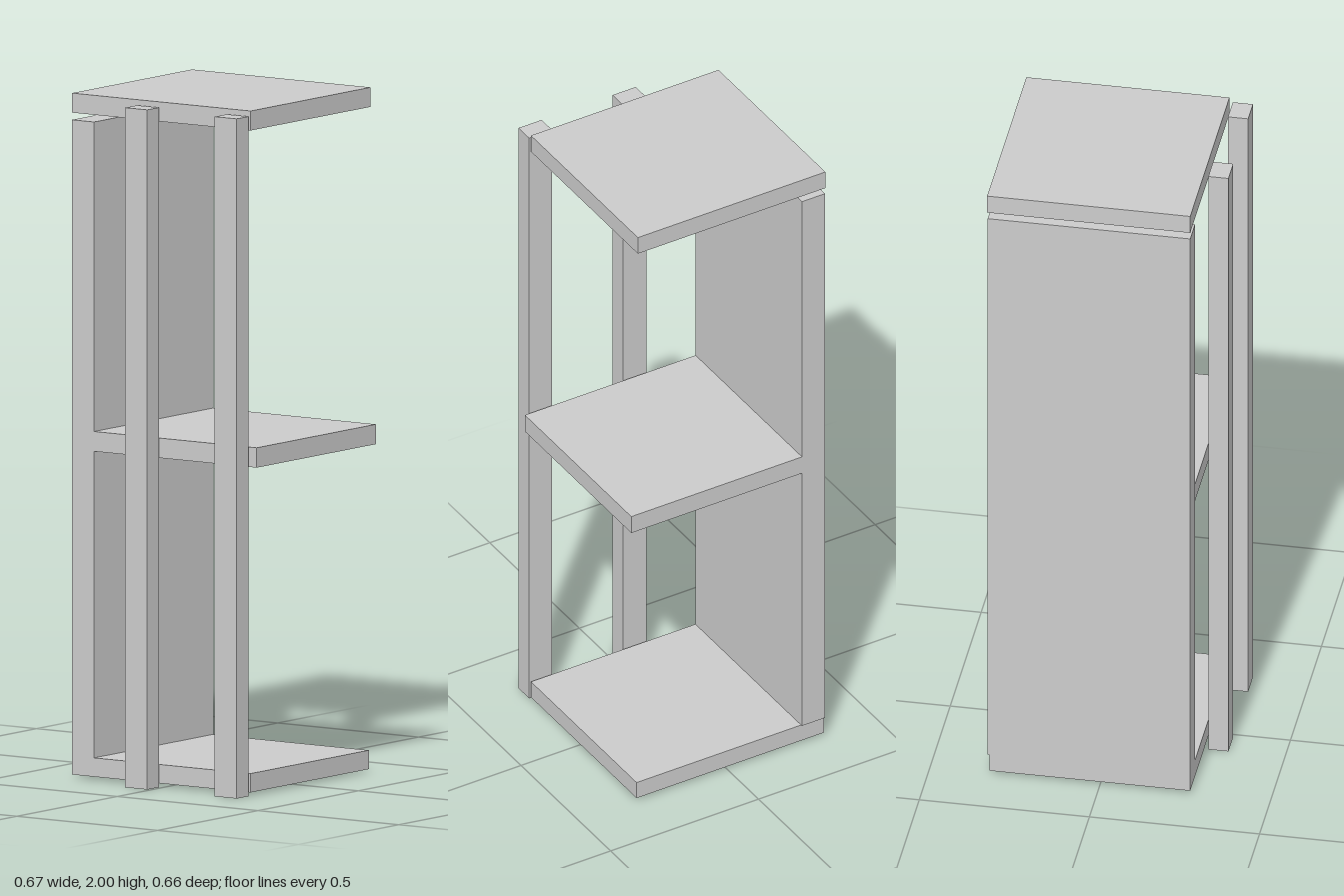
import * as THREE from 'three';

export function createModel() {
  const group = new THREE.Group();
  const material = new THREE.MeshStandardMaterial({ color: 0xcccccc, flatShading: true });

  // Box given by its [min, max] extents on each axis
  function board(name, [x0, x1], [y0, y1], [z0, z1]) {
    const mesh = new THREE.Mesh(new THREE.BoxGeometry(x1 - x0, y1 - y0, z1 - z0), material);
    mesh.position.set((x0 + x1) / 2, (y0 + y1) / 2, (z0 + z1) / 2);
    mesh.name = name;
    group.add(mesh);
  }

  // Shelves, the middle one set in front of the back panel
  board('bottomShelf', [-0.265, 0.325], [0.01, 0.065], [-0.328, 0.306]);
  board('middleShelf', [-0.264, 0.33], [0.96, 1.018], [-0.25, 0.327]);
  board('topShelf', [-0.265, 0.332], [1.943, 2], [-0.328, 0.306]);

  // Back panel, stopping just short of the top shelf
  board('backPanel', [-0.265, 0.33], [0.065, 1.922], [-0.328, -0.25]);

  // Free-standing posts along the right side
  for (const [name, z] of [['frontPost', 0.267], ['rearPost', -0.051]]) {
    board(name, [-0.334, -0.275], [0, 1.985], [z - 0.039, z + 0.039]);
  }

  return group;
}
